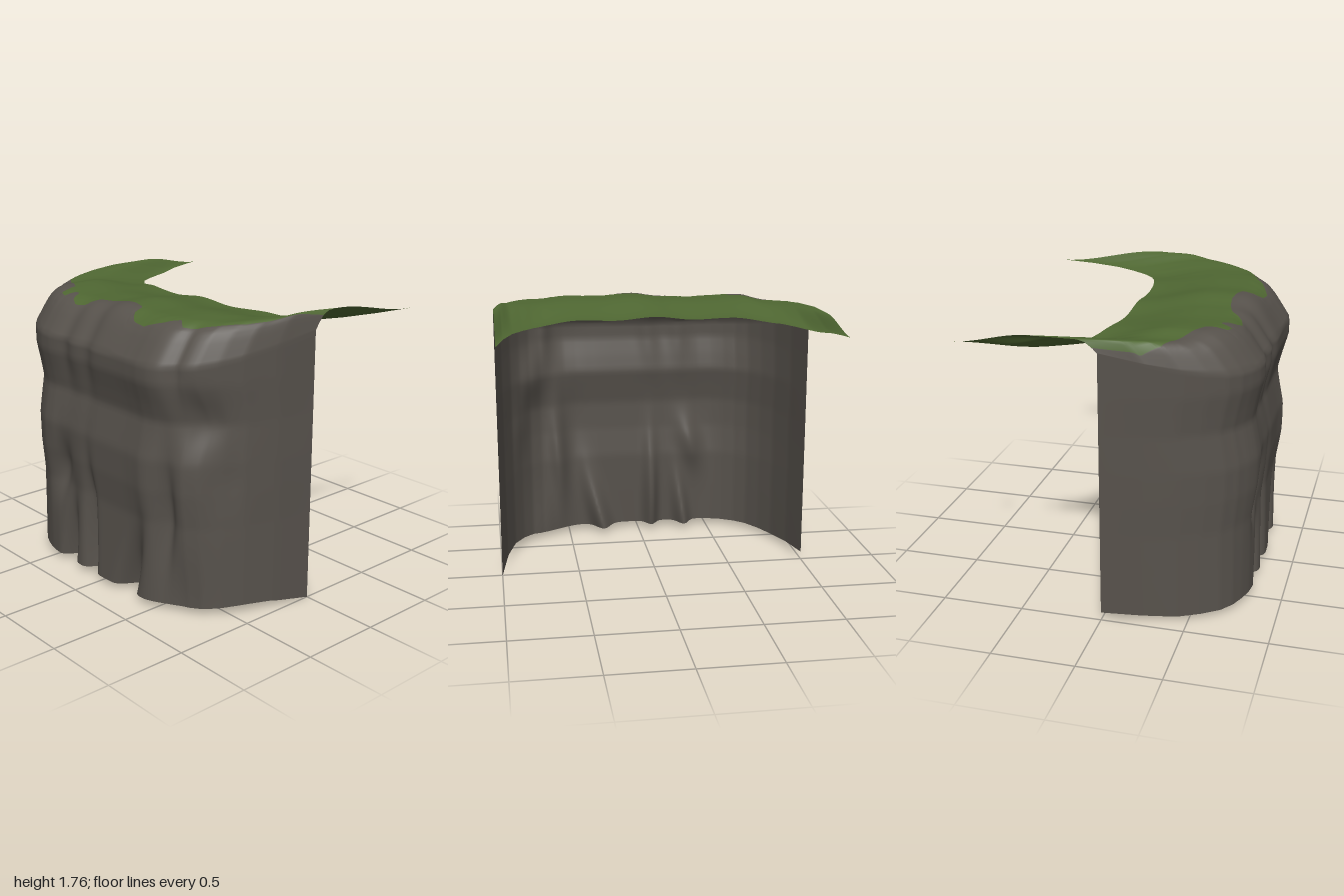
import * as THREE from 'three';

const { lerp, clamp, smoothstep } = THREE.MathUtils;
const ease = (k) => k * k * (3 - 2 * k);

// Lookup through [position, value] pairs, straight or eased between them
function lookup(table, p, shape = (k) => k) {
  if (p <= table[0][0]) return table[0][1];
  for (let i = 1; i < table.length; i++) {
    const [a, va] = table[i - 1], [b, vb] = table[i];
    if (p <= b) return lerp(va, vb, shape((p - a) / (b - a)));
  }
  return table[table.length - 1][1];
}

// Rounded plan outline over |x|: 1 in the middle, 0 at both ends
const OUTLINE = [[0, 1], [0.33, 0.994], [0.43, 0.984], [0.52, 0.963], [0.61, 0.931], [0.69, 0.891],
  [0.765, 0.819], [0.834, 0.693], [0.898, 0.535], [0.957, 0.29], [1, 0]];
// Depth of the cliff face at each height, in the middle of the front
const FACE = [[0, 0.82], [0.3, 0.81], [0.55, 0.803], [0.75, 0.822], [0.94, 0.825], [1.05, 0.805],
  [1.17, 0.782], [1.28, 0.805], [1.4, 0.835], [1.5, 0.835]];
// Heights along x: bottom edge, top surface, back rim
const BOTTOM = [[-1, 0.05], [-0.9, 0.03], [-0.6, 0.04], [0.7, 0.04], [0.9, 0.057], [0.95, 0.045], [1, 0]];
const TOP = [[-1, 1.73], [-0.8, 1.705], [-0.65, 1.73], [-0.35, 1.715], [-0.15, 1.72], [0.08, 1.745],
  [0.3, 1.73], [0.5, 1.735], [0.7, 1.73], [0.9, 1.745], [0.96, 1.765], [1, 1.76]];
const RIM = [[-1, 1.66], [-0.9, 1.632], [-0.75, 1.64], [-0.5, 1.665], [-0.25, 1.655], [0, 1.678],
  [0.25, 1.66], [0.5, 1.67], [0.75, 1.65], [1, 1.66]];
// How far back the top surface starts to sink, along x
const SINK = [[0.75, 0.4], [1, 0.15]];
// How the lip rounds over from the face to the top
const LIP = [[0, 0], [0.025, 0.17], [0.05, 0.34], [0.09, 0.6], [0.13, 0.8], [0.18, 0.94], [0.23, 1]];
// Front edge of the grass, as z along x
const GRASS_EDGE = [[-1, -0.03], [-0.95, 0.23], [-0.9, 0.33], [-0.75, 0.42], [-0.58, 0.51], [-0.56, 0.63],
  [-0.5, 0.65], [-0.48, 0.58], [-0.44, 0.58], [-0.41, 0.65], [-0.35, 0.68], [-0.27, 0.66], [-0.21, 0.59],
  [-0.1, 0.56], [0, 0.55], [0.1, 0.56], [0.18, 0.58], [0.2, 0.66], [0.25, 0.7], [0.35, 0.71], [0.48, 0.66],
  [0.55, 0.6], [0.6, 0.64], [0.75, 0.53], [0.85, 0.4], [0.9, 0.3], [0.95, 0.14], [1, -0.06]];
// Grooves (negative) and swellings in the rock: x, y, width, height, amount, lean
const RELIEF = [[-0.33, 0, 0.05, 0.35, -0.11, 0.12], [-0.09, 0.2, 0.045, 0.42, -0.1, 0], [0.25, 0, 0.065, 0.36, -0.13, 0.25],
  [0.68, 0, 0.14, 0.35, -0.06, 0], [-0.37, 0.65, 0.08, 0.18, -0.06, 0.2], [0.57, 0.6, 0.06, 0.35, -0.07, 0.05],
  [0.76, 1.18, 0.09, 0.17, -0.08, 0], [0.85, 0.85, 0.05, 0.2, -0.05, 0], [-0.29, 1.45, 0.07, 0.22, -0.025, 0.05],
  [-0.07, 1.45, 0.07, 0.25, -0.025, 0.1], [0.66, 1.48, 0.05, 0.2, -0.04, 0], [0.56, 1.42, 0.16, 0.25, 0.035, 0],
  [0.46, 0.75, 0.1, 0.4, 0.025, 0], [-0.53, 0.85, 0.14, 0.8, 0.03, 0]];

const outline = (x) => lookup(OUTLINE, Math.abs(x));
const wallTop = (x) => 1.5 + 0.16 * (1 - outline(x)) ** 1.2;
const rimZ = (x) => 0.81 * outline(x) - 0.85;

function faceZ(x, y) {
  const f = outline(x);
  let z = lookup(FACE, y);
  for (const [cx, cy, w, h, amount, lean] of RELIEF) {
    z += amount * Math.exp(-(((x - cx - lean * (y - cy)) / w) ** 2) - ((y - cy) / h) ** 2);
  }
  return z * f;
}

// Point on the top surface, t = 0 at the lip and 1 at the back rim
function topPoint(x, t) {
  const y0 = wallTop(x), d = 0.85 * t;
  const sink = smoothstep(d, lookup(SINK, x, ease), 0.85);
  const height = lerp(lookup(TOP, x, ease), lookup(RIM, x, ease), sink);
  const rounding = lookup(LIP, d / (0.5 + 0.5 * outline(x)));
  return [x, lerp(y0, height, rounding), lerp(faceZ(x, y0), rimZ(x), t)];
}

// Where the grass begins on the top surface
function grassStart(x) {
  const z0 = faceZ(x, wallTop(x));
  return clamp((z0 - lookup(GRASS_EDGE, x)) / (z0 - rimZ(x)), 0.004, 0.6);
}

const COLS = 190, WALL_ROWS = 56, LIP_ROWS = 12, GRASS_ROWS = 20;

function gridIndex(rows) {
  const index = [];
  for (let r = 0; r < rows; r++) {
    for (let c = 0; c < COLS; c++) {
      const a = r * (COLS + 1) + c, b = a + COLS + 1;
      index.push(a, a + 1, b + 1, a, b + 1, b);
    }
  }
  return index;
}

export function createModel() {
  // One continuous sheet: up the face, over the lip, back across the top
  const positions = [];
  const rows = WALL_ROWS + LIP_ROWS + GRASS_ROWS;
  for (let r = 0; r <= rows; r++) {
    for (let c = 0; c <= COLS; c++) {
      const x = Math.sin(((c / COLS) * 2 - 1) * Math.PI / 2);
      if (r <= WALL_ROWS) {
        const y = lerp(lookup(BOTTOM, x), wallTop(x), r / WALL_ROWS);
        positions.push(x, y, faceZ(x, y));
      } else {
        const start = grassStart(x), k = r - WALL_ROWS;
        const t = k <= LIP_ROWS ? start * k / LIP_ROWS : lerp(start, 1, (k - LIP_ROWS) / GRASS_ROWS);
        positions.push(...topPoint(x, t));
      }
    }
  }
  const sheet = new THREE.BufferGeometry();
  sheet.setAttribute('position', new THREE.Float32BufferAttribute(positions, 3));
  sheet.setIndex(gridIndex(rows));
  sheet.computeVertexNormals();

  // Cut the sheet into rock and grass, keeping the shared normals
  const group = new THREE.Group();
  group.name = 'cliff';
  const addPart = (name, first, last, colorName, color) => {
    const geometry = new THREE.BufferGeometry();
    const from = first * (COLS + 1) * 3, to = (last + 1) * (COLS + 1) * 3;
    for (const key of ['position', 'normal']) {
      geometry.setAttribute(key, new THREE.BufferAttribute(sheet.attributes[key].array.slice(from, to), 3));
    }
    geometry.setIndex(gridIndex(last - first));
    const material = new THREE.MeshStandardMaterial({ color, side: THREE.DoubleSide });
    material.name = colorName;
    const mesh = new THREE.Mesh(geometry, material);
    mesh.name = name;
    group.add(mesh);
  };
  const split = WALL_ROWS + LIP_ROWS;
  addPart('rockFace', 0, split, 'rockGrey', 0x57524c);
  addPart('grassTop', split, rows, 'grassGreen', 0x4f6732);
  return group;
}
